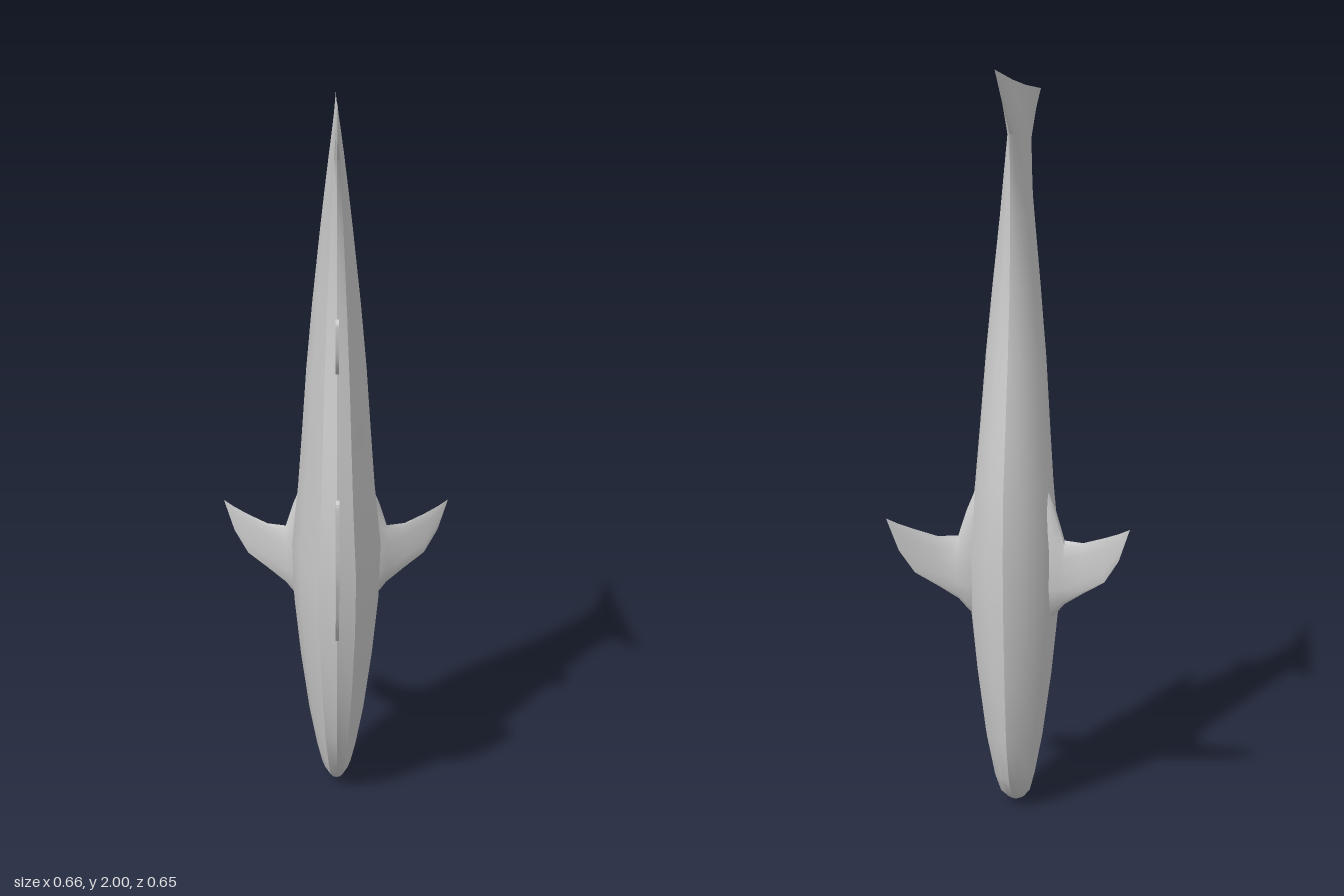
import * as THREE from 'three';
import { toCreasedNormals } from 'three/addons/utils/BufferGeometryUtils.js';

const material = new THREE.MeshStandardMaterial({ color: 0xcccccc, side: THREE.DoubleSide });

// Skins a list of closed rings (arrays of [x, y, z]) of equal length
function loft(rings, crease, flip = false) {
  const n = rings[0].length;
  const index = [];
  for (let i = 0; i < rings.length - 1; i++) {
    for (let j = 0; j < n; j++) {
      const k = (j + 1) % n;
      const a = i * n + j, b = i * n + k, c = b + n, d = a + n;
      if (flip) index.push(a, c, d, a, b, c);
      else index.push(a, d, c, a, c, b);
    }
  }
  const geometry = new THREE.BufferGeometry();
  geometry.setAttribute('position', new THREE.Float32BufferAttribute(rings.flat(2), 3));
  geometry.setIndex(index);
  return toCreasedNormals(geometry, crease);
}

// Half cross-section, belly to back: [fraction of half width, fraction of depth]
const section = [[0, 0], [0.37, 0.045], [0.83, 0.2], [1, 0.35], [0.8, 0.63], [0.4, 0.965], [0, 1]];

// Body stations, nose to tail: [height, belly z, back z, half width]
const stations = [
  [0.005, -0.064, -0.064, 0],
  [0.018, -0.09, -0.03, 0.024],
  [0.045, -0.128, 0.005, 0.043],
  [0.1, -0.165, 0.05, 0.058],
  [0.22, -0.203, 0.112, 0.081],
  [0.4, -0.225, 0.16, 0.105],
  [0.58, -0.238, 0.186, 0.123],
  [0.75, -0.244, 0.195, 0.128],
  [0.93, -0.235, 0.187, 0.109],
  [1.1, -0.205, 0.165, 0.096],
  [1.28, -0.172, 0.139, 0.083],
  [1.46, -0.147, 0.115, 0.066],
  [1.65, -0.138, 0.105, 0.045],
  [1.76, -0.14, 0.112, 0.032],
  [1.855, -0.146, 0.126, 0.02],
  [1.92, -0.228, 0.206, 0.011],
  [1.99, -0.325, 0.305, 0],
];

function createBody() {
  const rings = stations.map(([y, z0, z1, w], s) => {
    const point = ([x, t], side) => {
      // the trailing edge of the tail dips slightly in the middle
      const dip = s === stations.length - 1 ? 0.01 * Math.abs(2 * t - 1) : 0;
      return [side * x * w, y + dip, z0 + (z1 - z0) * t];
    };
    const left = section.map((p) => point(p, 1));
    const right = section.slice(1, -1).reverse().map((p) => point(p, -1));
    return [...left, ...right];
  });
  return new THREE.Mesh(loft(rings, 0.55), material);
}

// Side fin stations, root to tip: [x, leading y, trailing y, z, half thickness]
const finStations = [
  [0.1, 0.56, 0.92, -0.12, 0.03],
  [0.125, 0.585, 0.86, -0.125, 0.028],
  [0.147, 0.612, 0.79, -0.131, 0.018],
  [0.2, 0.65, 0.79, -0.149, 0.006],
  [0.26, 0.69, 0.812, -0.17, 0.004],
  [0.3, 0.755, 0.829, -0.187, 0.002],
  [0.33, 0.845, 0.845, -0.2, 0],
];

function createSideFin(side) {
  const count = 12;
  const rings = finStations.map(([x, y0, y1, z, h]) =>
    Array.from({ length: count }, (_, j) => {
      const a = (j / count) * Math.PI * 2;
      return [side * x, (y0 + y1) / 2 + Math.cos(a) * (y1 - y0) / 2, z - Math.sin(a) * h];
    }));
  return new THREE.Mesh(loft(rings, 1, side < 0), material);
}

// Thin upright fin on the back; outline points are [z, y], last edge lies inside the body
function createBackFin(points, root) {
  const curve = new THREE.SplineCurve(points.map((p) => new THREE.Vector2(...p)));
  const shape = new THREE.Shape([...curve.getPoints(24), ...root.map((p) => new THREE.Vector2(...p))]);
  const depth = 0.009;
  const geometry = new THREE.ExtrudeGeometry(shape, { depth, bevelEnabled: false });
  geometry.translate(0, 0, -depth / 2);
  geometry.rotateY(-Math.PI / 2);
  return new THREE.Mesh(geometry, material);
}

export function createModel() {
  const model = new THREE.Group();
  model.name = 'fish';
  const add = (name, mesh) => {
    mesh.name = name;
    model.add(mesh);
  };

  add('bodyAndTail', createBody());
  add('leftSideFin', createSideFin(1));
  add('rightSideFin', createSideFin(-1));
  add('largeBackFin', createBackFin(
    [[0.185, 0.57], [0.25, 0.64], [0.3, 0.76], [0.32, 0.85], [0.328, 0.99], [0.318, 1.023], [0.298, 1.015]],
    [[0.19, 0.932], [0.15, 0.92], [0.15, 0.58]]));
  add('smallBackFin', createBackFin(
    [[0.135, 1.31], [0.18, 1.333], [0.203, 1.38], [0.21, 1.452], [0.195, 1.468]],
    [[0.12, 1.44], [0.09, 1.43], [0.09, 1.32]]));
  return model;
}
